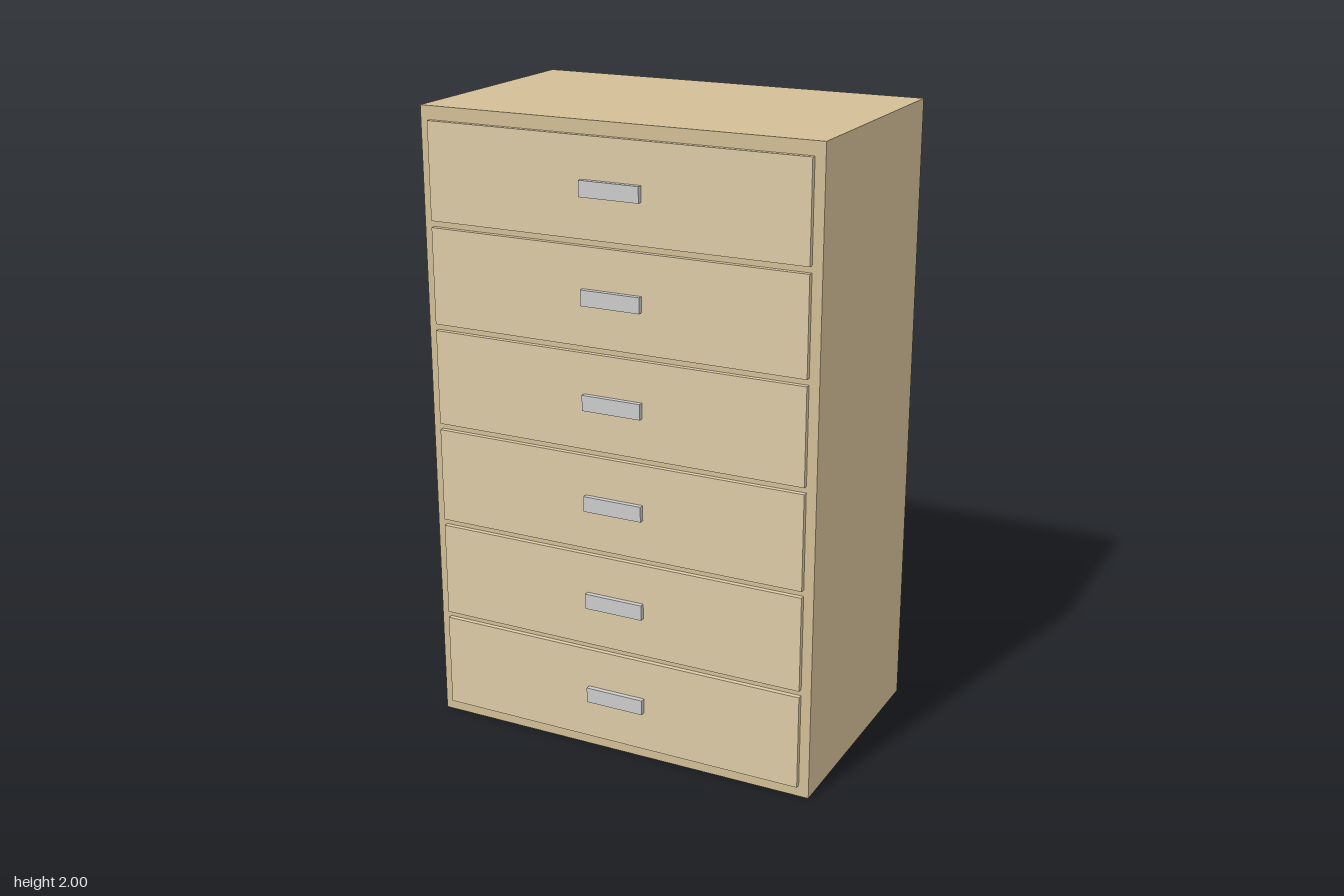
import * as THREE from 'three';

const DRAWERS = 6;
const FIRST_Y = 0.189; // centre of the lowest drawer
const PITCH = 0.3235;
const BACK_Z = -0.405, CASE_Z = 0.373, DRAWER_Z = 0.389, HANDLE_Z = 0.405;

const material = (color) => new THREE.MeshStandardMaterial({ color });

// Box centred on x, spanning z0 to z1
function slab(name, width, height, y, z0, z1, mat) {
  const mesh = new THREE.Mesh(new THREE.BoxGeometry(width, height, z1 - z0), mat);
  mesh.name = name;
  mesh.position.set(0, y, (z0 + z1) / 2);
  return mesh;
}

export function createModel() {
  const model = new THREE.Group();
  model.name = 'chestOfDrawers';

  const caseWood = material(0xd2be96);
  const drawerWood = material(0xdccaa5);
  const metal = material(0xcccccc);

  // Closed cabinet body
  model.add(slab('cabinet', 1.296, 2, 1, BACK_Z, CASE_Z, caseWood));

  // Raised drawer fronts, each with a bar handle
  for (let i = 0; i < DRAWERS; i++) {
    const y = FIRST_Y + i * PITCH;
    const drawer = new THREE.Group();
    drawer.name = `drawer${i + 1}`;
    drawer.add(
      slab('drawerFront', 1.232, 0.303, y, CASE_Z, DRAWER_Z, drawerWood),
      slab('handle', 0.194, 0.049, y, DRAWER_Z, HANDLE_Z, metal)
    );
    model.add(drawer);
  }
  return model;
}
